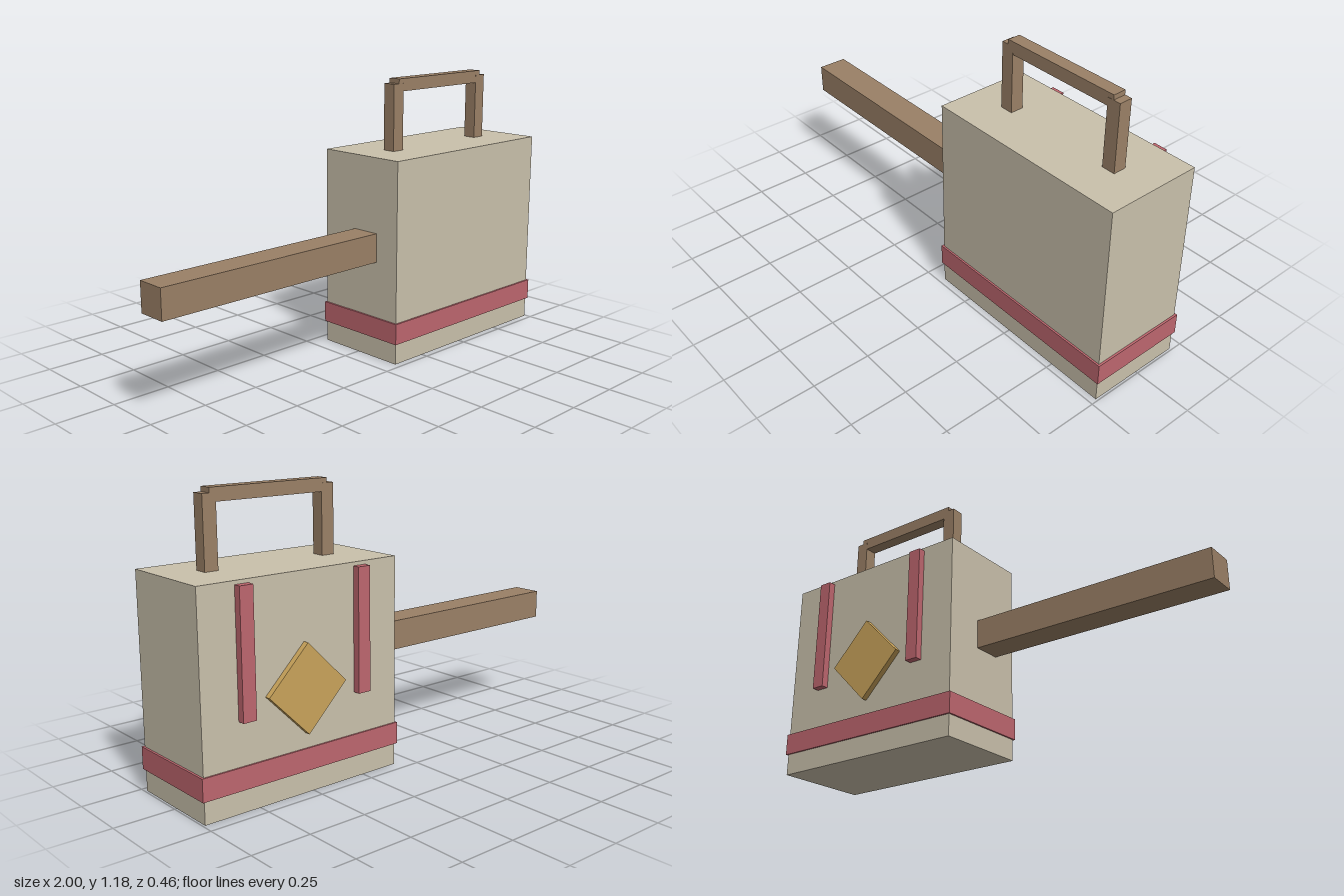
import * as THREE from 'three';

const mat = (name, color) => {
  const m = new THREE.MeshStandardMaterial({ color });
  m.name = name;
  return m;
};

export function createModel() {
  const cream = mat('cream', 0xc9c0ab);
  const brown = mat('brown', 0x9a8066);
  const rose = mat('rose', 0xbd666e);
  const gold = mat('gold', 0xc9a35a);

  const model = new THREE.Group();
  model.name = 'satchel';

  // Box given by its extents along each axis
  const box = (name, material, [x0, x1], [y0, y1], [z0, z1], parent = model) => {
    const mesh = new THREE.Mesh(new THREE.BoxGeometry(x1 - x0, y1 - y0, z1 - z0), material);
    mesh.position.set((x0 + x1) / 2, (y0 + y1) / 2, (z0 + z1) / 2);
    mesh.name = name;
    parent.add(mesh);
    return mesh;
  };

  const centerX = 0.536;

  // Main body and the band round its base
  box('body', cream, [0.081, 0.991], [0, 0.875], [-0.198, 0.222]);
  box('baseBand', rose, [0.073, 1], [0.091, 0.182], [-0.205, 0.23]);

  // Long side beam
  box('sideBeam', brown, [-1, 0.09], [0.427, 0.552], [-0.023, 0.105]);

  // Carrying handle: two posts and a crossbar
  const handle = new THREE.Group();
  handle.name = 'handle';
  model.add(handle);
  box('handleBar', brown, [0.268, 0.804], [1.127, 1.181], [-0.006, 0.05], handle);

  // Posts and back straps mirrored about the body's middle
  for (const [side, s] of [['left', 1], ['right', -1]]) {
    const x = centerX + s * 0.27;
    box(side + 'HandlePost', brown, [x - 0.029, x + 0.029], [0.87, 1.161], [-0.0065, 0.0505], handle);
    box(side + 'BackStrap', rose, [x - 0.029, x + 0.029], [0.356, 0.86], [-0.229, -0.195]);
  }

  // Diamond plate on the back
  const h = 0.18 / Math.SQRT2;
  const diamond = box('backDiamond', gold, [centerX - h, centerX + h], [0.424 - h, 0.424 + h], [-0.223, -0.195]);
  diamond.rotation.z = Math.PI / 4;

  return model;
}
